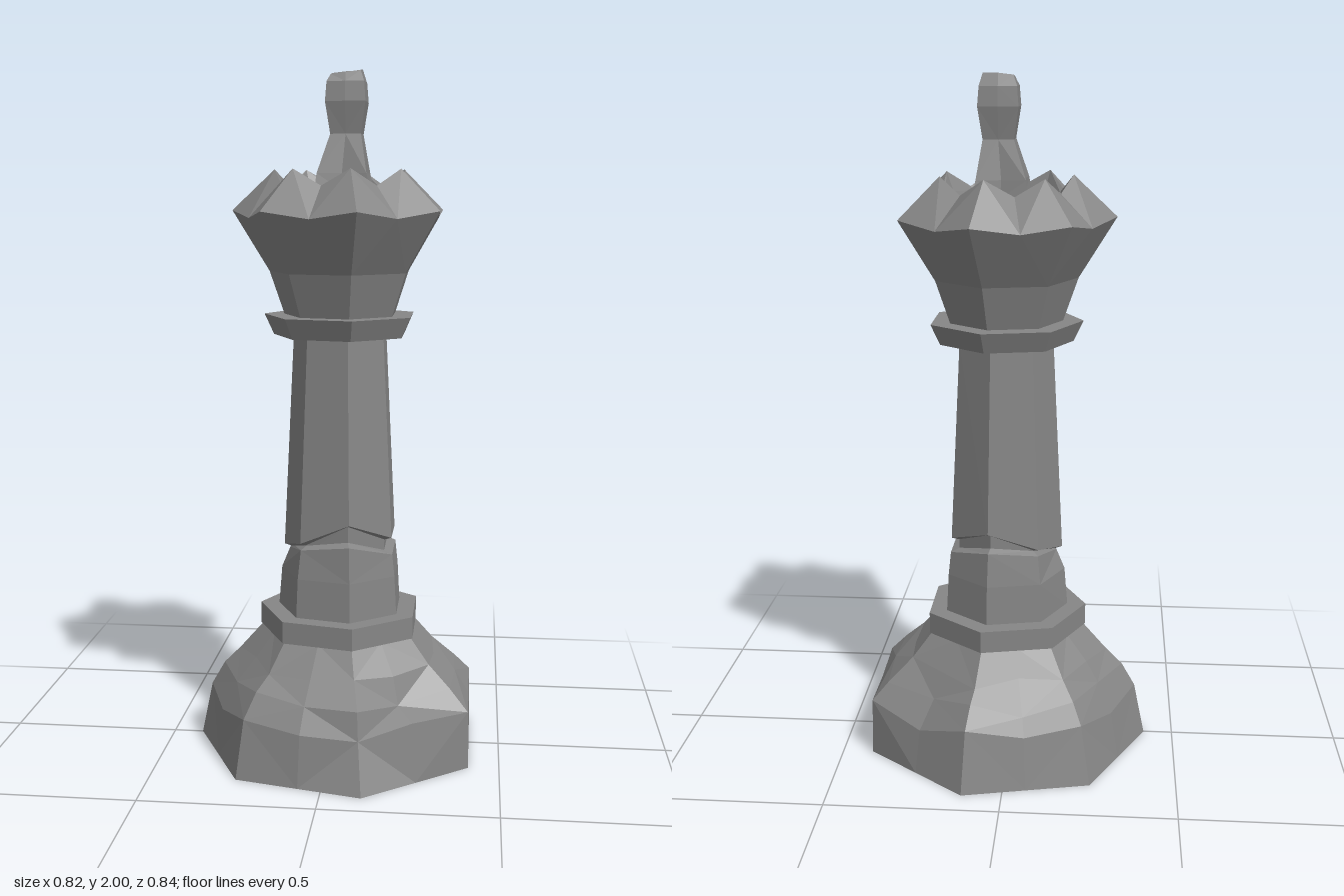
import * as THREE from 'three';

const SIDES = 7;
const AXIS = 0.02; // the seven-sided body sits slightly off x = 0
const MID = Math.cos(Math.PI / SIDES); // radius factor at the middle of a side

// Ring of points round the axis, starting at -x and turning through +z.
// r and y are numbers or lists with one entry per point.
function ring(r, y, count = SIDES, cx = AXIS, start = 0) {
  const pick = (v, i) => (Array.isArray(v) ? v[i % v.length] : v);
  return Array.from({ length: count }, (_, i) => {
    const a = start + (i / count) * Math.PI * 2;
    const radius = pick(r, i);
    return [cx - radius * Math.cos(a), pick(y, i), radius * Math.sin(a)];
  });
}

// Fourteen-point ring: corners alternate with middles of sides
const ring14 = (r, y, rm = r * MID, ym = y) => ring([r, rm], [y, ym], SIDES * 2);

// Faceted skin over rings listed from bottom to top, closed at both ends
function loft(name, rings, material) {
  const pos = [];
  const tri = (a, b, c) => pos.push(...a, ...b, ...c);
  const n = rings[0].length;
  const centre = (pts) => [0, 1, 2].map((k) => pts.reduce((s, p) => s + p[k], 0) / n);
  const low = rings[0];
  const top = rings[rings.length - 1];
  const lowC = centre(low);
  const topC = centre(top);
  for (let i = 0; i < n; i++) {
    const j = (i + 1) % n;
    for (let k = 0; k < rings.length - 1; k++) {
      const [p, q] = [rings[k], rings[k + 1]];
      if ((i + k) % 2) {
        tri(p[i], p[j], q[j]);
        tri(p[i], q[j], q[i]);
      } else {
        tri(p[i], p[j], q[i]);
        tri(p[j], q[j], q[i]);
      }
    }
    tri(lowC, low[j], low[i]);
    tri(topC, top[i], top[j]);
  }
  const geo = new THREE.BufferGeometry();
  geo.setAttribute('position', new THREE.Float32BufferAttribute(pos, 3));
  geo.computeVertexNormals();
  const mesh = new THREE.Mesh(geo, material);
  mesh.name = name;
  return mesh;
}

export function createModel() {
  const group = new THREE.Group();
  group.name = 'chessPiece';
  const stone = new THREE.MeshStandardMaterial({ color: 0x868686, flatShading: true });
  const add = (name, rings) => group.add(loft(name, rings, stone));

  // Rough, chipped foot
  add('base', [
    ring14(0.433, 0),
    ring(
      [0.4, 0.375, 0.4, 0.37, 0.375, 0.37, 0.43, 0.388, 0.43, 0.37, 0.39, 0.36, 0.39, 0.365],
      [0.16, 0.14, 0.17, 0.15, 0.14, 0.17, 0.17, 0.16, 0.17, 0.13, 0.18, 0.15, 0.17, 0.14], 14),
    ring(
      [0.36, 0.33, 0.35, 0.33, 0.355, 0.3, 0.37, 0.345, 0.38, 0.31, 0.34, 0.33, 0.35, 0.32],
      [0.23, 0.22, 0.24, 0.22, 0.22, 0.2, 0.23, 0.23, 0.22, 0.21, 0.24, 0.2, 0.23, 0.23], 14),
    ring(
      [0.31, 0.27, 0.3, 0.28, 0.29, 0.275, 0.3, 0.28, 0.3, 0.27, 0.3, 0.26, 0.3, 0.28],
      [0.28, 0.29, 0.28, 0.28, 0.29, 0.28, 0.29, 0.28, 0.29, 0.28, 0.27, 0.29, 0.28, 0.29], 14),
    ring14(0.235, 0.365),
  ]);

  add('lowerCollar', [ring(0.245, 0.36), ring(0.245, 0.425)]);

  // Column with a jagged crack running round it
  const crack = [0.61, 0.645, 0.71, 0.655, 0.655, 0.7, 0.645];
  const gap = [0.01, 0.02, 0.065, 0.05, 0.045, 0.06, 0.02];
  const lowerEdge = crack.map((y, i) => y - gap[i]);
  add('lowerColumn', [
    ring(0.19, 0.42),
    ring([0.18, 0.183, 0.183, 0.183, 0.183, 0.183, 0.183], 0.54),
    ring([0.155, 0.17, 0.175, 0.175, 0.175, 0.17, 0.17], lowerEdge),
    ring(0.148, lowerEdge.map((y) => y + 0.01)),
  ]);
  add('upperColumn', [
    ring(0.147, lowerEdge.map((y) => y - 0.01)),
    ring(0.148, crack.map((y) => y - 0.008)),
    ring(0.172, crack),
    ring(0.141, 1.25),
  ]);

  add('upperCollar', [ring(0.2, 1.245), ring(0.228, 1.305)]);

  // Flared head with seven crown points round a shallow floor
  add('crown', [
    ring14(0.167, 1.3),
    ring14(0.212, 1.43),
    ring14(0.32, 1.605, 0.28, 1.585),
    ring14(0.195, 1.722, 0.18, 1.675),
    ring14(0.172, 1.665, 0.17, 1.665),
  ]);

  // Four-sided knob on a foot with hollowed sides
  const knob = (r, y, hollow = Math.SQRT1_2, cx = 0.035) =>
    ring([r, r * hollow], y, 8, cx, Math.PI / 4);
  add('finial', [
    knob(0.112, 1.66, 0.58, 0.028),
    knob(0.1, 1.71, 0.6, 0.026),
    knob(0.062, 1.82),
    knob(0.081, 1.91, 0.74),
    knob(0.075, 1.965, 0.74),
    knob(0.06, [1.985, 1.99, 1.995, 2, 2, 2, 1.995, 1.99], 0.74),
  ]);

  return group;
}
